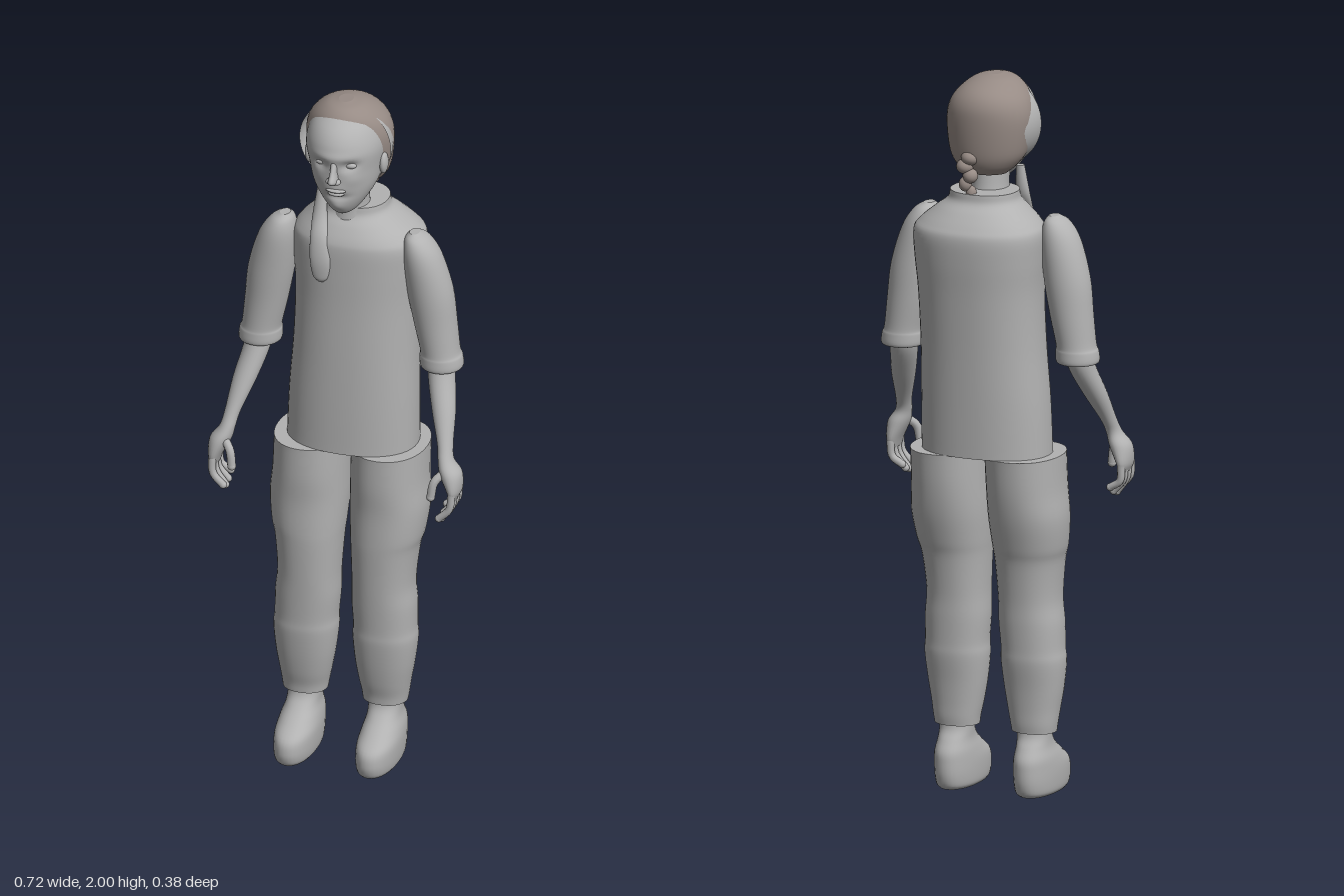
import * as THREE from 'three';

const grey = new THREE.MeshStandardMaterial({ color: 0xb2b2b2, side: THREE.DoubleSide });
grey.name = 'plain grey';
const brown = new THREE.MeshStandardMaterial({ color: 0x978b85 });
brown.name = 'hair brown';

// Smooth upright body through rings [y, x, z, half width, half depth], listed from the bottom up
function loft(rings, { seg = 36, steps = 5, p = 1 } = {}) {
  const centre = new THREE.CatmullRomCurve3(rings.map(r => new THREE.Vector3(r[1], r[0], r[2])), false, 'catmullrom', 0.5);
  const radius = new THREE.CatmullRomCurve3(rings.map(r => new THREE.Vector3(r[3], 0, r[4])), false, 'catmullrom', 0.5);
  const n = (rings.length - 1) * steps;
  const rows = [];
  for (let i = 0; i <= n; i++) rows.push([centre.getPoint(i / n), radius.getPoint(i / n)]);
  const zero = new THREE.Vector3();
  // flat end caps have their own rows so that their edges stay sharp
  const all = [[rows[0][0], zero], rows[0], ...rows, rows[n], [rows[n][0], zero]];
  const pos = [], index = [];
  const bend = v => Math.sign(v) * Math.pow(Math.abs(v), p);
  for (const [c, r] of all) {
    for (let j = 0; j < seg; j++) {
      const a = (j / seg) * Math.PI * 2;
      pos.push(c.x + Math.max(r.x, 0) * bend(Math.cos(a)), c.y, c.z + Math.max(r.z, 0) * bend(Math.sin(a)));
    }
  }
  for (let i = 0; i < all.length - 1; i++) {
    if (i === 1 || i === all.length - 3) continue;
    for (let j = 0; j < seg; j++) {
      const a = i * seg + j, b = i * seg + (j + 1) % seg;
      index.push(a, a + seg, b, b, a + seg, b + seg);
    }
  }
  const g = new THREE.BufferGeometry();
  g.setAttribute('position', new THREE.Float32BufferAttribute(pos, 3));
  g.setIndex(index);
  g.computeVertexNormals();
  return g;
}

function add(parent, name, geometry, material = grey) {
  const m = new THREE.Mesh(geometry, material);
  m.name = name;
  parent.add(m);
  return m;
}

function blob(parent, name, [x, y, z], [a, b, c], material = grey) {
  const m = add(parent, name, new THREE.SphereGeometry(1, 20, 14), material);
  m.position.set(x, y, z);
  m.scale.set(a, b, c);
  return m;
}

// Limb rings give the distance from the body's slightly leaning middle line
const middle = y => 0.018 * Math.min(1, y);
const toSide = (rings, s) => rings.map(([y, d, ...rest]) => [y, middle(y) + s * d, ...rest]);

// Finger: thin tube with a rounded tip
function finger(parent, name, s, points, r) {
  const path = points.map(([d, y, z]) => new THREE.Vector3(middle(y) + s * d, y, z));
  add(parent, name, new THREE.TubeGeometry(new THREE.CatmullRomCurve3(path), 10, r, 10));
  const tip = path[path.length - 1];
  blob(parent, name + 'Tip', tip.toArray(), [r, r, r]);
}

function buildArm(s) {
  const arm = new THREE.Group();
  arm.name = s > 0 ? 'leftArm' : 'rightArm';
  add(arm, 'sleeve', loft(toSide([
    [1.215, 0.259, 0, 0.045, 0.046], [1.222, 0.259, 0, 0.059, 0.06], [1.25, 0.257, 0, 0.059, 0.06],
    [1.27, 0.254, 0, 0.055, 0.058], [1.35, 0.241, 0, 0.06, 0.06], [1.45, 0.226, 0.003, 0.064, 0.063],
    [1.55, 0.206, 0.008, 0.054, 0.06], [1.6, 0.193, 0.01, 0.035, 0.046], [1.62, 0.185, 0.01, 0.014, 0.02],
  ], s)));
  add(arm, 'forearmAndPalm', loft(toSide([
    [0.893, 0.34, 0.13, 0.01, 0.034], [0.92, 0.34, 0.13, 0.02, 0.044], [0.965, 0.328, 0.13, 0.03, 0.04],
    [1.0, 0.312, 0.125, 0.022, 0.027], [1.04, 0.303, 0.105, 0.022, 0.026], [1.12, 0.284, 0.06, 0.033, 0.036],
    [1.2, 0.264, 0.018, 0.037, 0.042], [1.26, 0.258, 0, 0.035, 0.04],
  ], s), { seg: 24 }));
  [0.165, 0.142, 0.119, 0.097].forEach((z, i) => {
    const end = [0.838, 0.828, 0.835, 0.85][i];
    finger(arm, 'finger', s, [[0.342, 0.915, z], [0.337, 0.87, z + 0.002], [0.308, end, z + 0.002]], 0.0105);
  });
  finger(arm, 'thumb', s, [[0.315, 0.97, 0.145], [0.292, 0.945, 0.163], [0.284, 0.9, 0.168]], 0.012);
  return arm;
}

function buildLeg(s) {
  const leg = new THREE.Group();
  leg.name = s > 0 ? 'leftLeg' : 'rightLeg';
  add(leg, 'trouserLeg', loft(toSide([
    [0.175, 0.114, 0.003, 0.062, 0.054], [0.2, 0.114, 0.003, 0.066, 0.057], [0.24, 0.113, 0.007, 0.073, 0.063],
    [0.3, 0.113, 0.01, 0.083, 0.071], [0.37, 0.113, 0.01, 0.09, 0.08], [0.41, 0.112, 0.01, 0.088, 0.081],
    [0.48, 0.109, 0.011, 0.09, 0.085], [0.55, 0.106, 0.012, 0.087, 0.089], [0.65, 0.108, 0.009, 0.094, 0.099],
    [0.7, 0.112, 0.003, 0.102, 0.107], [0.78, 0.114, -0.007, 0.108, 0.118], [0.86, 0.111, -0.011, 0.105, 0.128],
    [0.955, 0.11, -0.015, 0.104, 0.134],
  ], s), { p: 0.92 }));
  add(leg, 'shoe', loft(toSide([
    [0, 0.117, 0.045, 0.048, 0.112], [0.012, 0.117, 0.043, 0.055, 0.125], [0.04, 0.117, 0.042, 0.058, 0.132],
    [0.075, 0.117, 0.037, 0.058, 0.128], [0.105, 0.117, 0.018, 0.054, 0.105], [0.135, 0.116, 0.006, 0.047, 0.075],
    [0.165, 0.115, 0.003, 0.046, 0.052], [0.21, 0.115, 0.003, 0.046, 0.046],
  ], s), { p: 0.92 }));
  return leg;
}

function buildHead() {
  const head = new THREE.Group();
  head.name = 'head';
  add(head, 'neck', loft([
    [1.64, 0.02, 0, 0.06, 0.065], [1.69, 0.02, 0.005, 0.05, 0.058], [1.77, 0.02, 0.015, 0.052, 0.06],
  ]));

  // face and skull, with eye sockets pressed in and the cheeks, brow and chin pushed out
  const skull = loft([
    [1.695, 0.025, 0.09, 0.012, 0.018], [1.708, 0.025, 0.078, 0.036, 0.046], [1.74, 0.022, 0.058, 0.064, 0.082],
    [1.78, 0.018, 0.037, 0.088, 0.11], [1.83, 0.015, 0.022, 0.1, 0.13], [1.88, 0.012, 0.02, 0.107, 0.137],
    [1.92, 0.01, 0.018, 0.1, 0.13], [1.955, 0.009, 0.018, 0.08, 0.103], [1.98, 0.008, 0.015, 0.045, 0.06],
    [1.99, 0.008, 0.012, 0.01, 0.01],
  ], { seg: 72, steps: 8 });
  const features = [
    [-0.024, 1.858, 0.02, 0.014, -0.014], [0.058, 1.858, 0.02, 0.014, -0.014], [0.017, 1.885, 0.06, 0.012, 0.004],
    [-0.035, 1.815, 0.025, 0.02, 0.004], [0.069, 1.815, 0.025, 0.02, 0.004], [0.023, 1.762, 0.03, 0.009, -0.007],
    [0.023, 1.73, 0.022, 0.016, 0.006], [0.021, 1.787, 0.03, 0.018, 0.004],
  ];
  const p = skull.attributes.position;
  for (let i = 0; i < p.count; i++) {
    if (p.getZ(i) < 0.06) continue;
    let push = 0;
    for (const [x, y, w, h, d] of features) {
      push += d * Math.exp(-(((p.getX(i) - x) / w) ** 2) - ((p.getY(i) - y) / h) ** 2);
    }
    p.setZ(i, p.getZ(i) + push);
  }
  skull.computeVertexNormals();
  add(head, 'face', skull);

  for (const s of [-1, 1]) {
    blob(head, 'eye', [0.017 + s * 0.04, 1.857, 0.127], [0.018, 0.009, 0.011]);
    blob(head, 'nostril', [0.02 + s * 0.011, 1.818, 0.162], [0.01, 0.008, 0.012]);
    blob(head, 'ear', [0.013 + s * 0.106, 1.825, 0.025], [0.012, 0.032, 0.02]);
  }
  add(head, 'nose', loft([
    [1.81, 0.02, 0.16, 0.008, 0.012], [1.818, 0.02, 0.162, 0.013, 0.024], [1.827, 0.02, 0.163, 0.012, 0.027],
    [1.845, 0.019, 0.155, 0.009, 0.02], [1.87, 0.018, 0.145, 0.009, 0.014], [1.885, 0.018, 0.142, 0.006, 0.01],
  ], { seg: 20 }));
  blob(head, 'upperLip', [0.022, 1.784, 0.147], [0.028, 0.006, 0.013]);
  blob(head, 'lowerLip', [0.022, 1.773, 0.143], [0.023, 0.007, 0.013]);

  // hair pokes out through the cap at the crown and the back
  add(head, 'hair', loft([
    [1.735, 0.015, -0.035, 0.06, 0.05], [1.76, 0.015, -0.03, 0.088, 0.075], [1.8, 0.013, -0.022, 0.11, 0.095],
    [1.88, 0.011, -0.015, 0.121, 0.109], [1.93, 0.01, -0.01, 0.112, 0.11], [1.965, 0.009, 0, 0.088, 0.097],
    [1.99, 0.009, 0.012, 0.055, 0.062], [2.0, 0.009, 0.015, 0.02, 0.025],
  ]), brown);
  const cap = add(head, 'backCap', new THREE.SphereGeometry(1, 32, 28, Math.PI, Math.PI));
  cap.position.set(0.009, 1.867, 0.027);
  cap.scale.set(0.13, 0.127, 0.145);

  // braid hanging at the nape
  for (let i = 0; i < 5; i++) {
    const r = 0.027 - i * 0.003;
    blob(head, 'braid', [0.04 + (i % 2 ? 0.008 : -0.008), 1.785 - i * 0.025, -0.1 - 0.004 * Math.sin(i)], [r, 0.021, r], brown);
  }
  return head;
}

export function createModel() {
  const model = new THREE.Group();
  model.name = 'figure';

  add(model, 'shirt', loft([
    [0.955, 0.018, -0.02, 0.183, 0.13], [1.1, 0.021, -0.022, 0.18, 0.133], [1.25, 0.026, -0.026, 0.174, 0.136],
    [1.4, 0.03, -0.033, 0.174, 0.14], [1.5, 0.031, -0.038, 0.181, 0.145], [1.57, 0.031, -0.04, 0.183, 0.146],
    [1.6, 0.029, -0.037, 0.166, 0.136], [1.635, 0.025, -0.034, 0.128, 0.112], [1.66, 0.021, -0.032, 0.1, 0.09],
    [1.685, 0.02, -0.032, 0.094, 0.085],
  ], { seg: 48, p: 0.9 }));

  // lock of hair lying on the chest
  add(model, 'frontLock', loft([
    [1.473, -0.035, 0.1, 0.008, 0.006], [1.49, -0.036, 0.103, 0.022, 0.009], [1.54, -0.037, 0.102, 0.03, 0.012],
    [1.6, -0.043, 0.088, 0.027, 0.014], [1.66, -0.052, 0.058, 0.02, 0.016], [1.74, -0.05, 0.045, 0.012, 0.012],
  ], { seg: 20 }));

  model.add(buildHead());
  for (const s of [-1, 1]) model.add(buildArm(s), buildLeg(s));
  return model;
}
